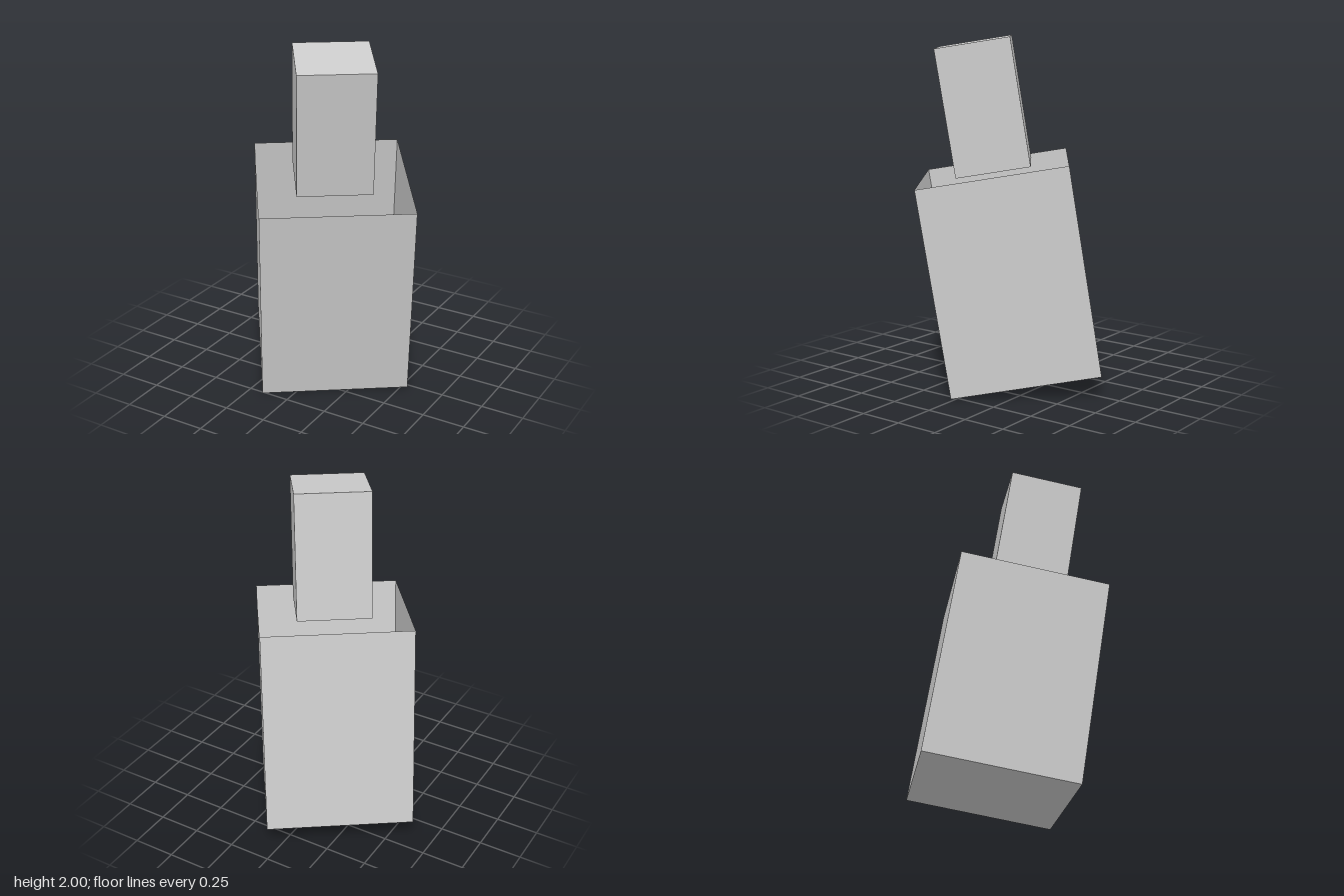
import * as THREE from 'three';

// Box without its top face
function openBox(w, h, d) {
  const g = new THREE.BoxGeometry(w, h, d);
  const index = Array.from(g.index.array);
  index.splice(12, 6); // the +y face
  g.setIndex(index);
  g.clearGroups();
  return g;
}

export function createModel() {
  const grey = new THREE.MeshStandardMaterial({ color: 0xcccccc, side: THREE.DoubleSide });
  grey.name = 'light grey';

  const W = 0.85, H = 1.195, NECK_W = 0.425, NECK_H = 0.729;

  // Both boxes share one turn and one forward lean
  const tilted = new THREE.Group();
  tilted.name = 'tiltedBlocks';
  tilted.rotation.order = 'YXZ';
  tilted.rotation.set(THREE.MathUtils.degToRad(9.1), THREE.MathUtils.degToRad(35), 0);
  tilted.position.y = 0.657;

  // Large lower box, open at the top
  const body = new THREE.Mesh(openBox(W, H, W), grey);
  body.name = 'lowerOpenBox';
  tilted.add(body);

  // Small closed box centred at the rim height
  const neck = new THREE.Mesh(new THREE.BoxGeometry(NECK_W, NECK_H, NECK_W), grey);
  neck.name = 'upperBox';
  neck.position.y = (H + NECK_H) / 2;
  tilted.add(neck);

  const model = new THREE.Group();
  model.name = 'stackedBoxes';
  model.add(tilted);
  return model;
}
